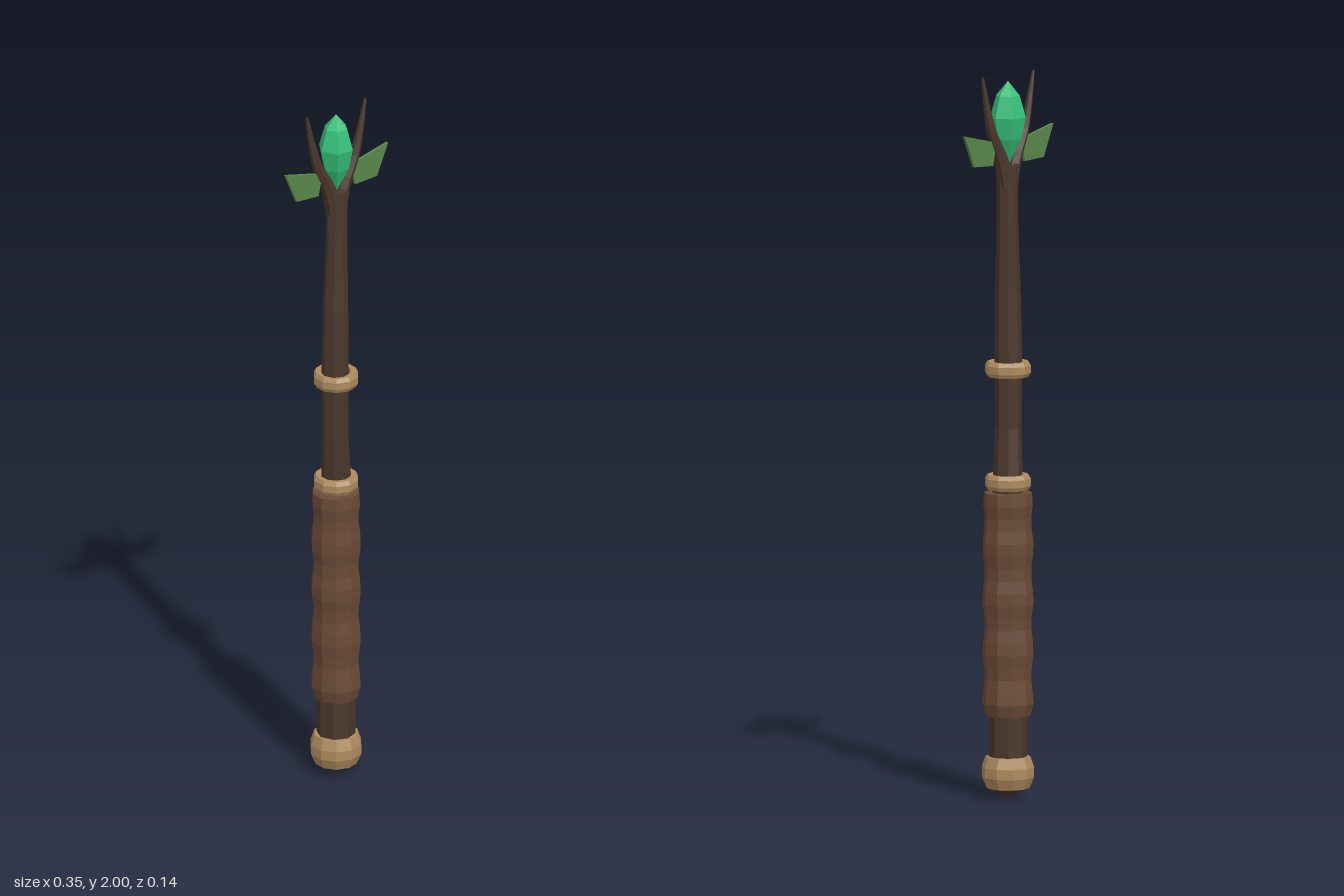
import * as THREE from 'three';

const mat = (color) => new THREE.MeshStandardMaterial({ color, flatShading: true, roughness: 0.9 });

export function createModel() {
  const model = new THREE.Group();
  const wood = mat(0x4a382c), leather = mat(0x6a4a36), band = mat(0xae8b5e);
  const crystalMat = mat(0x35c07a), leafMat = mat(0x588549);

  const add = (name, geometry, material) => {
    const mesh = new THREE.Mesh(geometry, material);
    mesh.name = name;
    model.add(mesh);
    return mesh;
  };
  // Profile of [radius, height] pairs, from the bottom up
  const lathe = (profile, sides) =>
    new THREE.LatheGeometry(profile.map(([r, y]) => new THREE.Vector2(r, y)), sides);

  // Gnarled shaft: [radius, height, x shift, z shift]
  const stations = [
    [0, 0, 0, 0], [0.053, 0.03, 0, 0], [0.053, 0.24, 0, 0], [0.046, 0.6, 0, 0],
    [0.041, 0.88, 0.002, -0.001], [0.036, 1.02, -0.007, 0.006], [0.038, 1.2, -0.008, 0.006],
    [0.035, 1.4, -0.008, 0.008], [0.029, 1.62, 0.001, 0.002], [0.03, 1.75, 0.002, 0], [0, 1.75, 0.002, 0],
  ];
  const shaft = lathe(stations, 8);
  const sp = shaft.attributes.position;
  for (let i = 0; i < sp.count; i++) {
    const [, , dx, dz] = stations[i % stations.length];
    sp.setX(i, sp.getX(i) + dx);
    sp.setZ(i, sp.getZ(i) + dz);
  }
  add('shaft', shaft, wood);

  // Pommel
  add('pommel', lathe([[0.05, 0.028], [0.059, 0.03], [0.072, 0.06], [0.072, 0.088], [0.062, 0.117], [0.05, 0.117]], 10), band);

  // Wrapped grip with rolling bulges
  const grip = [[0.045, 0.23], [0.062, 0.23]];
  for (let i = 1; i < 18; i++) {
    grip.push([0.067 + 0.0035 * Math.sin(i * 1.5), 0.23 + i * 0.0342]);
  }
  grip.push([0.066, 0.845], [0.04, 0.845]);
  add('grip', lathe(grip, 10), leather);

  // Binding rings
  for (const [name, y] of [['lowerRing', 0.874], ['upperRing', 1.186]]) {
    const ring = add(name, lathe([
      [0.042, -0.02], [0.057, -0.021], [0.063, -0.01], [0.063, 0.01], [0.057, 0.021], [0.042, 0.02], [0.042, -0.02],
    ], 10), band);
    ring.position.y = y;
  }

  // Crystal
  const crystal = add('crystal', lathe([
    [0, 1.745], [0.037, 1.82], [0.05, 1.88], [0.033, 1.94], [0, 1.98],
  ], 6), crystalMat);
  crystal.rotation.y = Math.PI / 6;

  for (const [side, s] of [['left', 1], ['right', -1]]) {
    // Tapering prong curving around the crystal
    const path = new THREE.CatmullRomCurve3([
      [0.006, 1.69], [0.027, 1.765], [0.064, 1.84], [0.085, 1.92], [0.101, 2.0],
    ].map(([x, y]) => new THREE.Vector3(s * x, y, 0)));
    const steps = 10, sides = 6;
    const prong = new THREE.TubeGeometry(path, steps, 1, sides);
    const pp = prong.attributes.position;
    const v = new THREE.Vector3();
    for (let i = 0; i < pp.count; i++) {
      const t = Math.floor(i / (sides + 1)) / steps;
      const centre = path.getPointAt(t);
      v.fromBufferAttribute(pp, i).sub(centre).multiplyScalar(0.025 - 0.021 * t).add(centre);
      pp.setXYZ(i, v.x, Math.min(v.y, 2), v.z);
    }
    add(side + 'Prong', prong, wood);

    // Angular leaf
    const leafShape = new THREE.Shape([
      [0.05, 1.815], [0.063, 1.752], [0.138, 1.756], [0.176, 1.845],
    ].map(([x, y]) => new THREE.Vector2(s * x, y)));
    const leaf = new THREE.ExtrudeGeometry(leafShape, { depth: 0.009, bevelEnabled: false });
    leaf.translate(0, 0, -0.0045);
    add(side + 'Leaf', leaf, leafMat);
  }

  return model;
}
